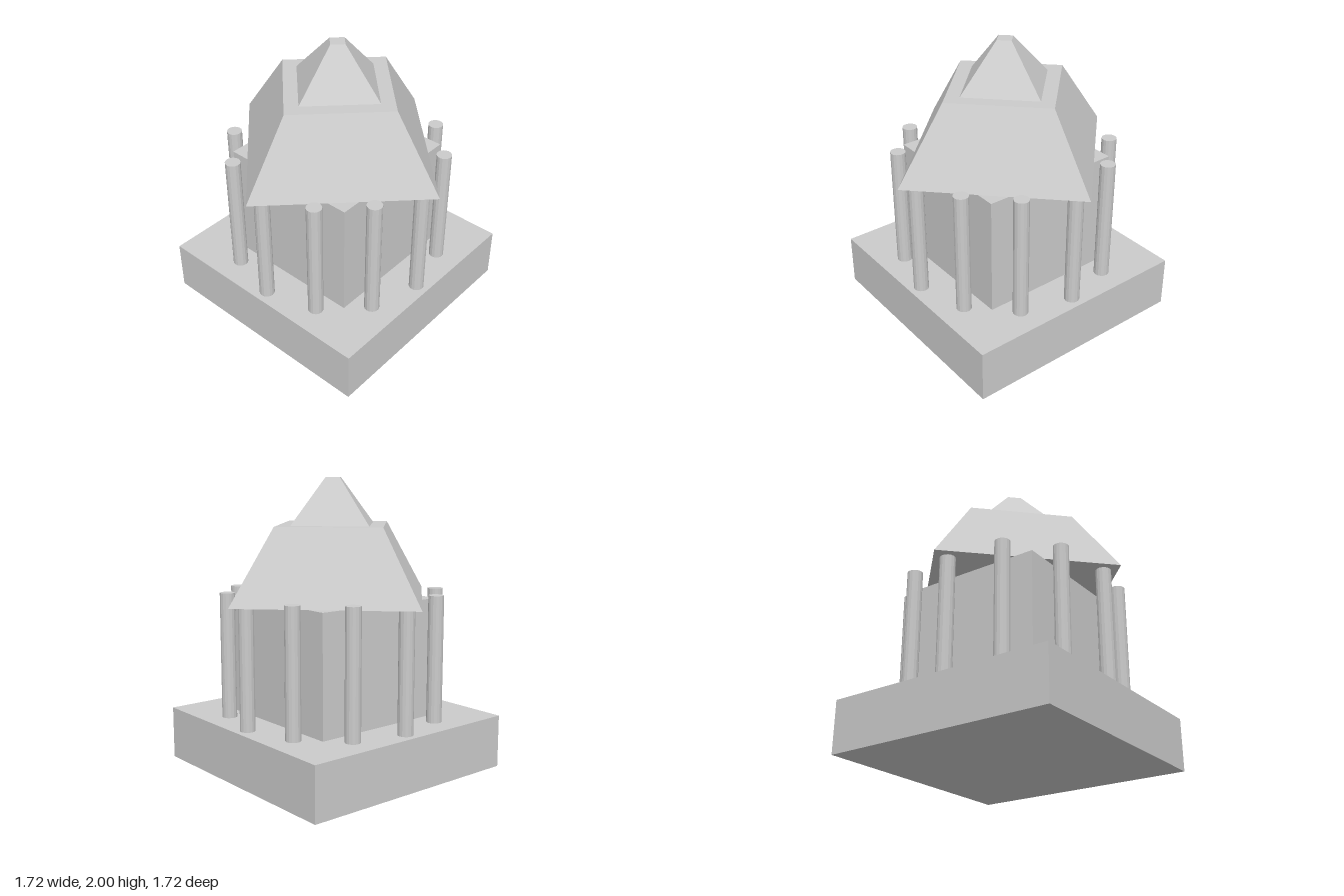
import * as THREE from 'three';

export function createModel() {
  const group = new THREE.Group();
  const material = new THREE.MeshStandardMaterial({ color: 0xcccccc, flatShading: true });

  // Adds a part resting on height y
  function add(name, geometry, y, x = 0, z = 0) {
    const mesh = new THREE.Mesh(geometry, material);
    mesh.name = name;
    mesh.position.set(x, y + geometry.parameters.height / 2, z);
    group.add(mesh);
  }

  const baseTop = 0.365, eaves = 1.185, roofTop = 1.685;

  // Square plinth and inner chamber
  add('base', new THREE.BoxGeometry(1.635, baseTop, 1.635), 0);
  add('chamber', new THREE.BoxGeometry(1, eaves - baseTop, 1), baseTop);

  // Ring of twelve columns
  const count = 12, ring = 0.727;
  const column = new THREE.CylinderGeometry(0.052, 0.052, 1.23 - baseTop, 16);
  for (let i = 0; i < count; i++) {
    const a = (i / count) * Math.PI * 2;
    add('column', column, baseTop, ring * Math.sin(a), ring * Math.cos(a));
  }

  // Two-tier, four-sided roof with its corners on the axes
  add('lowerRoof', new THREE.CylinderGeometry(0.5, 0.862, roofTop - eaves, 4), eaves);
  add('upperRoof', new THREE.CylinderGeometry(0.068, 0.367, 2 - roofTop, 4), roofTop);

  return group;
}
